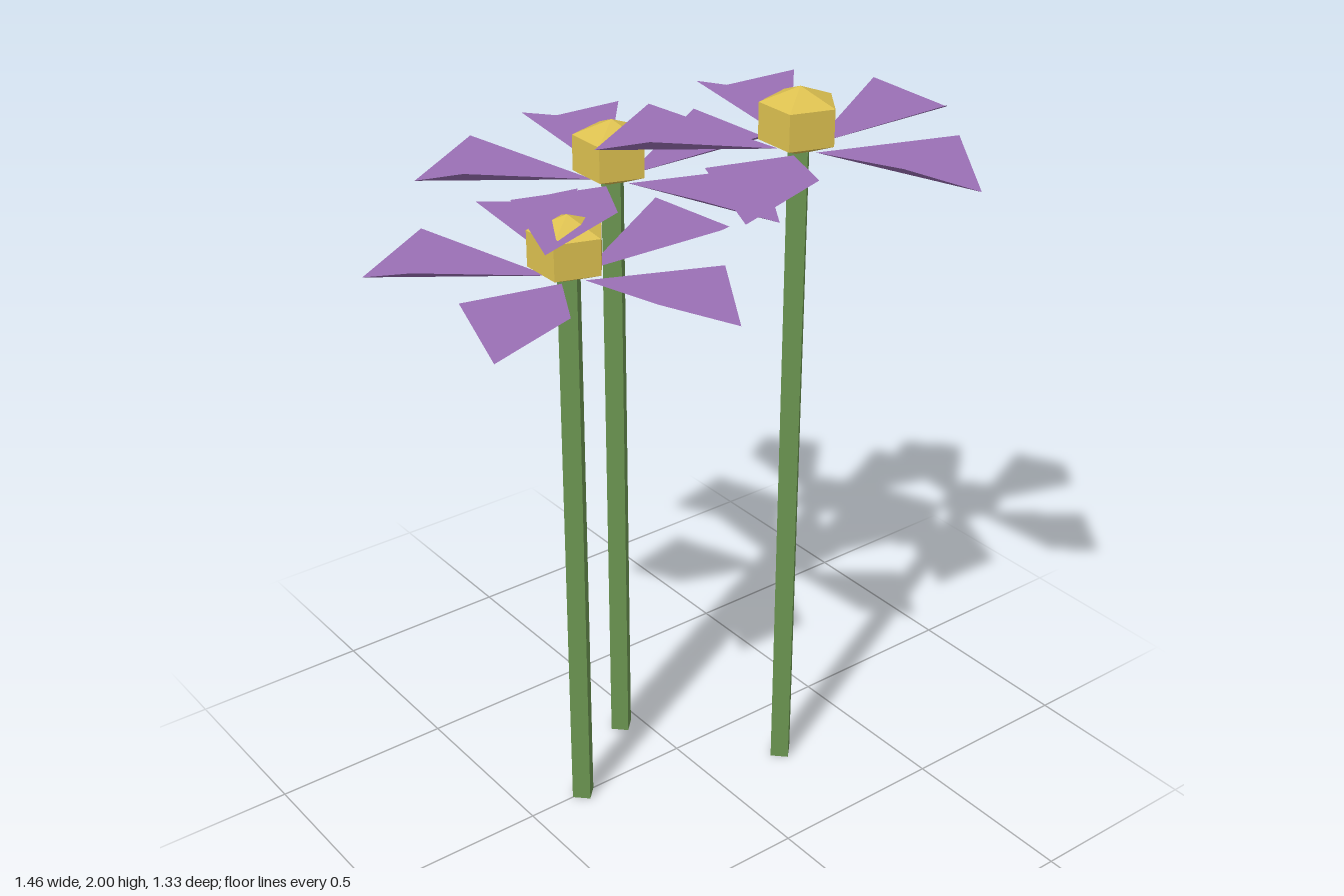
import * as THREE from 'three';

const stemGreen = new THREE.MeshStandardMaterial({ color: 0x6a9350 });
stemGreen.name = 'stem green';
const petalPurple = new THREE.MeshStandardMaterial({ color: 0x9a70b5, side: THREE.DoubleSide });
petalPurple.name = 'petal purple';
const centreYellow = new THREE.MeshStandardMaterial({ color: 0xdcc050 });
centreYellow.name = 'centre yellow';

// Faceted copy of a geometry
function faceted(geometry) {
  const flat = geometry.toNonIndexed();
  flat.computeVertexNormals();
  return flat;
}

// Kite-shaped petal along +x, folded along its spine with both sides raised
function petalGeometry() {
  const geo = new THREE.BufferGeometry();
  geo.setAttribute('position', new THREE.Float32BufferAttribute([
    0.05, 0, 0, // inner end
    0.365, 0.07, 0.135, // side
    0.5, 0, 0, // tip
    0.365, 0.07, -0.135, // side
  ], 3));
  // even, upward normals keep the petal face uniform
  geo.setAttribute('normal', new THREE.Float32BufferAttribute([0, 1, 0, 0, 1, 0, 0, 1, 0, 0, 1, 0], 3));
  geo.setIndex([0, 1, 2, 0, 2, 3]);
  return geo;
}

// Five-sided gem with a corner on +x, heights relative to the petal base
function centreGeometry() {
  const profile = [[0, -0.015], [0.1, 0.025], [0.1, 0.12], [0, 0.16]];
  return faceted(new THREE.LatheGeometry(
    profile.map(([r, y]) => new THREE.Vector2(r, y)), 5, Math.PI / 2));
}

function makeFlower(name, x, z, height, petalGeo, centreGeo) {
  const flower = new THREE.Group();
  flower.name = name;
  flower.position.set(x, 0, z);

  // Square stem with corners on the axes
  const stem = new THREE.Mesh(
    faceted(new THREE.CylinderGeometry(0.035, 0.035, height, 4)), stemGreen);
  stem.name = 'stem';
  stem.position.y = height / 2;
  flower.add(stem);

  const centre = new THREE.Mesh(centreGeo, centreYellow);
  centre.name = 'flowerCentre';
  centre.position.y = height;
  flower.add(centre);

  // Ring of five petals
  for (let i = 0; i < 5; i++) {
    const petal = new THREE.Mesh(petalGeo, petalPurple);
    petal.name = 'petal';
    petal.position.y = height;
    petal.rotation.y = (i * Math.PI * 2) / 5;
    flower.add(petal);
  }
  return flower;
}

export function createModel() {
  const model = new THREE.Group();
  model.name = 'flowers';
  const petalGeo = petalGeometry();
  const centreGeo = centreGeometry();
  model.add(
    makeFlower('tallFlower', 0.23, 0.19, 1.84, petalGeo, centreGeo),
    makeFlower('middleFlower', -0.06, -0.19, 1.71, petalGeo, centreGeo),
    makeFlower('shortFlower', -0.33, 0, 1.585, petalGeo, centreGeo),
  );
  return model;
}
